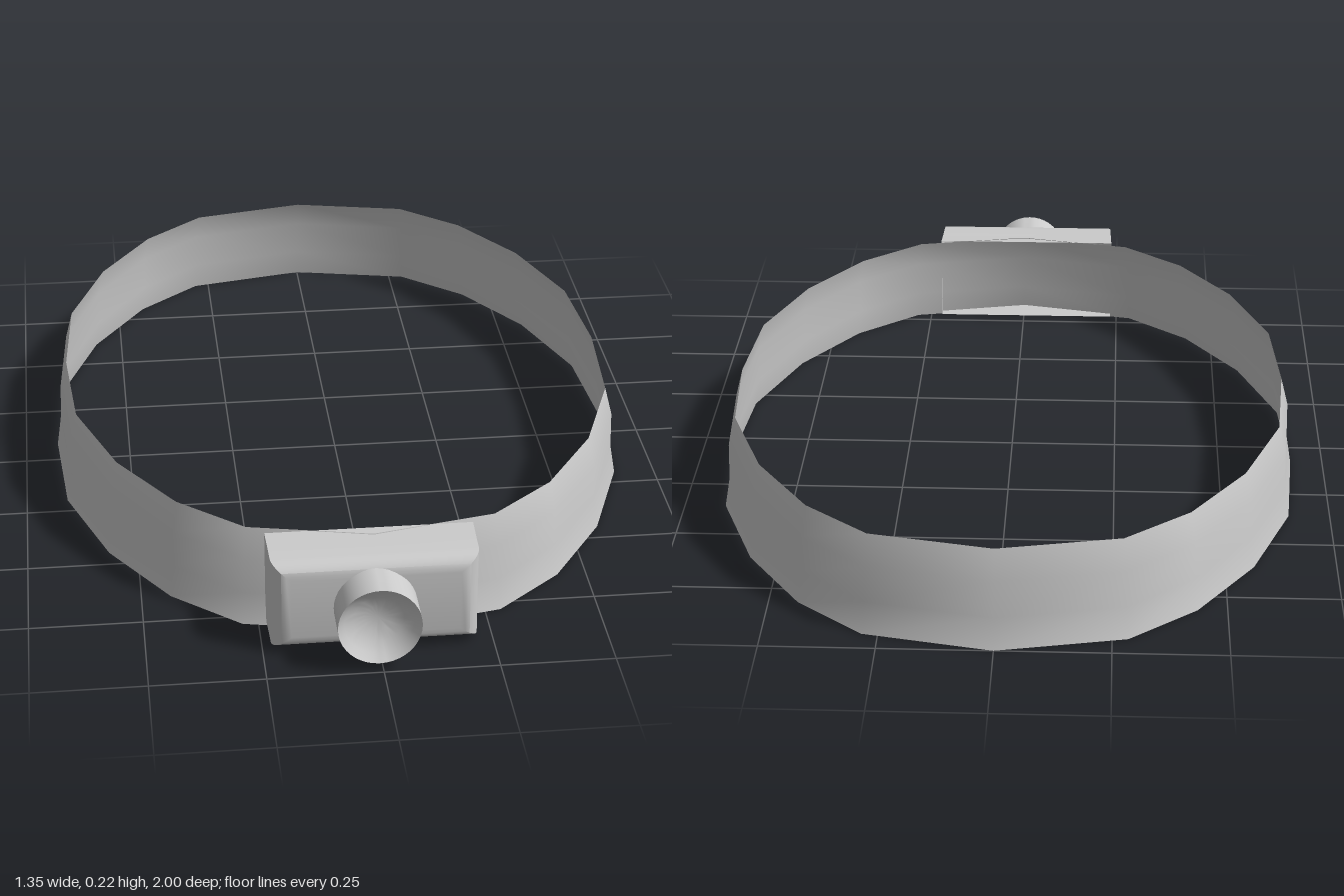
import * as THREE from 'three';
import { toCreasedNormals } from 'three/addons/utils/BufferGeometryUtils.js';

const material = new THREE.MeshStandardMaterial({ color: 0xcccccc, side: THREE.DoubleSide });

// Skins a list of closed loops (arrays of [x, y, z]); optionally caps the last one
function loft(loops, capEnd = false) {
  const n = loops[0].length;
  const index = [];
  for (let r = 0; r < loops.length - 1; r++) {
    for (let i = 0; i < n; i++) {
      const a = r * n + i, b = r * n + (i + 1) % n;
      index.push(a, b, b + n, a, b + n, a + n);
    }
  }
  if (capEnd) {
    const s = (loops.length - 1) * n;
    for (let i = 1; i < n - 1; i++) index.push(s, s + i, s + i + 1);
  }
  const geometry = new THREE.BufferGeometry();
  geometry.setAttribute('position', new THREE.Float32BufferAttribute(loops.flat(2), 3));
  geometry.setIndex(index);
  geometry.computeVertexNormals();
  return geometry;
}

function part(name, geometry) {
  const mesh = new THREE.Mesh(geometry, material);
  mesh.name = name;
  return mesh;
}

// Oval head band: twenty sides, tapering inwards towards the top
function createBand() {
  const centreZ = -0.08;
  // Half outline at the bottom edge, from front to back, relative to the centre
  const quarter = [[0, 0.92], [0.285, 0.86], [0.435, 0.73], [0.565, 0.53], [0.655, 0.28], [0.674, 0]];
  const right = [...quarter, ...quarter.slice(0, -1).reverse().map(([x, z]) => [x, -z])];
  const outline = [...right, ...right.slice(1, -1).reverse().map(([x, z]) => [-x, z])];
  // Height and inward offset of each ring
  const rings = [[0, 0], [0.07, 0.014], [0.155, 0.016], [0.222, 0.036]];
  return loft(rings.map(([y, inset]) => outline.map(([x, z]) =>
    [x * (1 - inset * 0.85 / 0.674), y, centreZ + z * (1 - inset * 1.15 / 0.92)])));
}

// Lamp housing: open at the back, rounded over at the front
function createHousing() {
  const sections = [[0.77, 0], [0.83, 0.002]];
  const radius = 0.042;
  for (let i = 0; i <= 6; i++) {
    const a = i / 6 * Math.PI / 2;
    sections.push([0.873 + radius * Math.sin(a), 0.003 + radius * (1 - Math.cos(a))]);
  }
  const loops = sections.map(([z, d]) => {
    const x0 = -0.234 + d, x1 = 0.22 - d, y0 = 0.008 + d * 0.8, y1 = 0.221 - d * 0.8;
    return [[x0, y0, z], [x1, y0, z], [x1, y1, z], [x0, y1, z]];
  });
  return toCreasedNormals(loft(loops, true), Math.PI / 4);
}

// Lamp barrel with a dished reflector
function createLamp() {
  const profile = [[0.09, 0], [0.09, 0.11], [0.075, 0.094], [0.055, 0.08], [0.03, 0.071], [0, 0.068]]
    .map(([r, h]) => new THREE.Vector2(r, h));
  const geometry = new THREE.LatheGeometry(profile, 40);
  geometry.rotateX(Math.PI / 2);
  geometry.translate(-0.009, 0.113, 0.89);
  return toCreasedNormals(geometry, Math.PI / 4);
}

export function createModel() {
  const group = new THREE.Group();
  group.name = 'headlamp';
  group.add(
    part('headBand', createBand()),
    part('lampHousing', createHousing()),
    part('lampBarrel', createLamp()),
  );
  return group;
}
